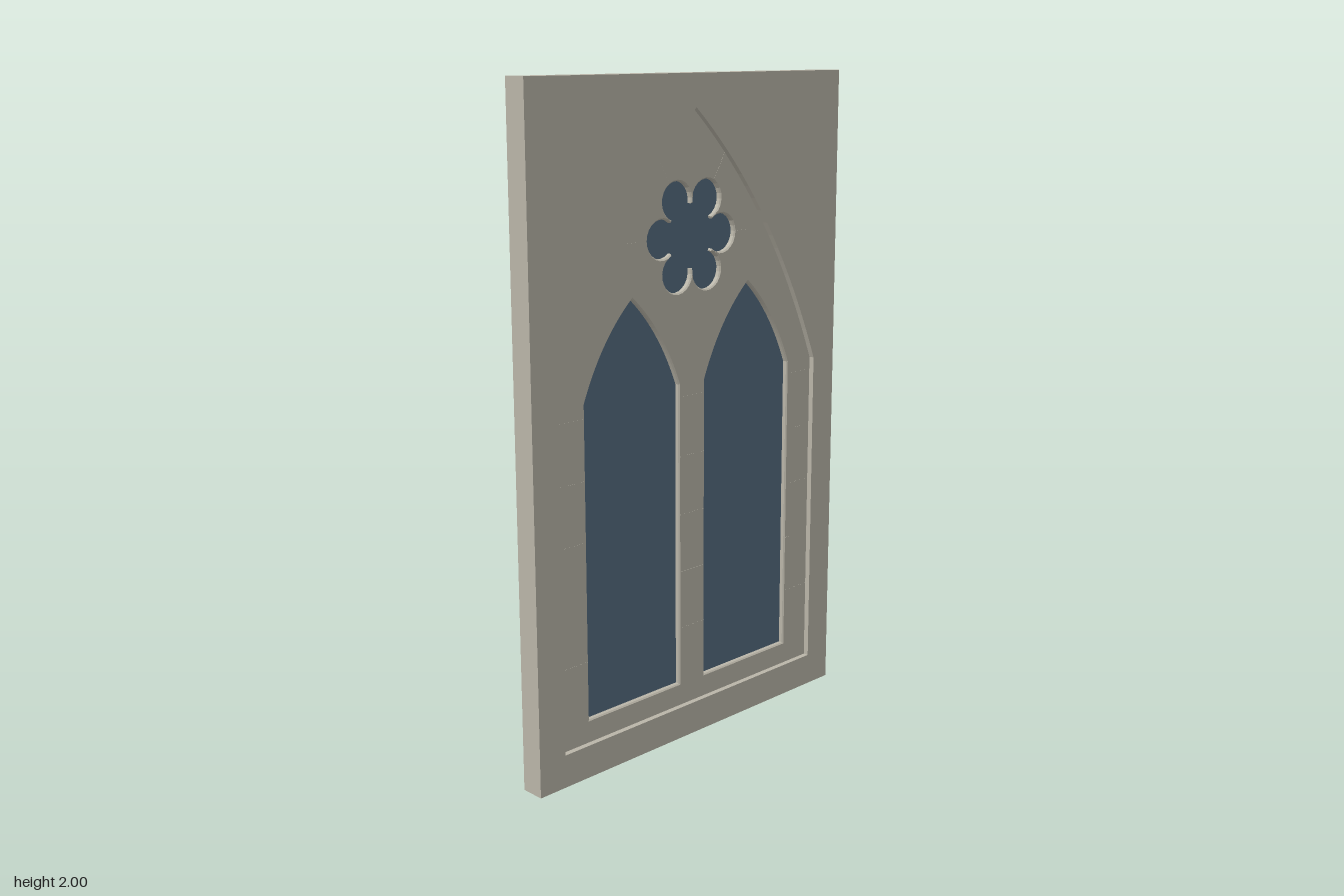
import * as THREE from 'three';

const WALL_DEPTH = 0.074, TRACERY_DEPTH = 0.04, GLASS_DEPTH = 0.008;
const ROSE_Y = 1.54;

// Pointed arch outline: straight jambs, two curved sides meeting at the apex
function lancet(path, cx, half, bottom, spring, apex) {
  const rise = apex - spring, kx = half * 0.64, ky = spring + rise * 0.62;
  path.moveTo(cx - half, bottom);
  path.lineTo(cx + half, bottom);
  path.lineTo(cx + half, spring);
  path.quadraticCurveTo(cx + kx, ky, cx, apex);
  path.quadraticCurveTo(cx - kx, ky, cx - half, spring);
  path.closePath();
  return path;
}

// Six-lobed rosette outline
function rosette(path) {
  const sweep = THREE.MathUtils.degToRad(130), points = [];
  for (let lobe = 0; lobe < 6; lobe++) {
    const a = lobe * Math.PI / 3;
    for (let i = 0; i <= 16; i++) {
      const b = a - sweep + (2 * sweep * i) / 16;
      points.push(new THREE.Vector2(
        0.12 * Math.cos(a) + 0.057 * Math.cos(b),
        ROSE_Y + 0.12 * Math.sin(a) + 0.057 * Math.sin(b)));
    }
  }
  path.setFromPoints(points);
  path.closePath();
  return path;
}

// Extrusion centred on z = 0, with an optional chamfer cut into the outline
function slab(shape, depth, chamfer = 0) {
  const geometry = new THREE.ExtrudeGeometry(shape, {
    depth: depth - 2 * chamfer, curveSegments: 20, bevelEnabled: chamfer > 0,
    bevelThickness: chamfer, bevelSize: chamfer, bevelOffset: -chamfer, bevelSegments: 1,
  });
  return geometry.translate(0, 0, -depth / 2 + chamfer);
}

export function createModel() {
  const model = new THREE.Group();
  const stone = new THREE.MeshStandardMaterial({ color: 0xb9b5a8 });
  stone.name = 'stone';
  const glass = new THREE.MeshStandardMaterial({ color: 0x546a7e });
  glass.name = 'glass';

  function add(name, geometry, material, parent = model) {
    const mesh = new THREE.Mesh(geometry, material);
    mesh.name = name;
    parent.add(mesh);
    return mesh;
  }

  // Wall with the large arched opening
  const wall = new THREE.Shape();
  wall.moveTo(-0.622, 0);
  wall.lineTo(0.622, 0);
  wall.lineTo(0.622, 2);
  wall.lineTo(-0.622, 2);
  wall.closePath();
  wall.holes.push(lancet(new THREE.Path(), 0, 0.528, 0.1, 1.11, 1.905));
  add('wall', slab(wall, WALL_DEPTH), stone);

  // Recessed tracery, its rim tucked into the wall
  const openings = [
    ['leftLight', (p) => lancet(p, 0.237, 0.183, 0.17, 1.11, 1.383)],
    ['rightLight', (p) => lancet(p, -0.237, 0.183, 0.17, 1.11, 1.383)],
    ['roseLight', rosette],
  ];
  const tracery = lancet(new THREE.Shape(), 0, 0.538, 0.09, 1.115, 1.92);
  for (const [, outline] of openings) tracery.holes.push(outline(new THREE.Path()));
  add('tracery', slab(tracery, TRACERY_DEPTH, 0.004), stone);

  // Panes
  for (const [name, outline] of openings) {
    add(name, slab(outline(new THREE.Shape()), GLASS_DEPTH), glass);
  }

  // Fine masonry joints on both faces
  const joints = new THREE.Group();
  joints.name = 'joints';
  model.add(joints);
  function joint(x, y, length, angle = 0) {
    const geometry = new THREE.BoxGeometry(length, 0.002, TRACERY_DEPTH + 0.001);
    const mesh = add('joint', geometry, stone, joints);
    mesh.position.set(x, y, 0);
    mesh.rotation.z = angle;
  }
  for (let i = 0; i < 5; i++) {
    const y = 0.35 + i * 0.18;
    joint(-0.475, y, 0.1);
    joint(0, y, 0.1);
    joint(0.475, y, 0.1);
  }
  for (const [degrees, outer] of [[0, 0.33], [60, 0.27], [120, 0.27], [180, 0.33]]) {
    const a = THREE.MathUtils.degToRad(degrees), mid = (0.182 + outer) / 2;
    joint(mid * Math.cos(a), ROSE_Y + mid * Math.sin(a), outer - 0.182, a);
  }
  return model;
}
